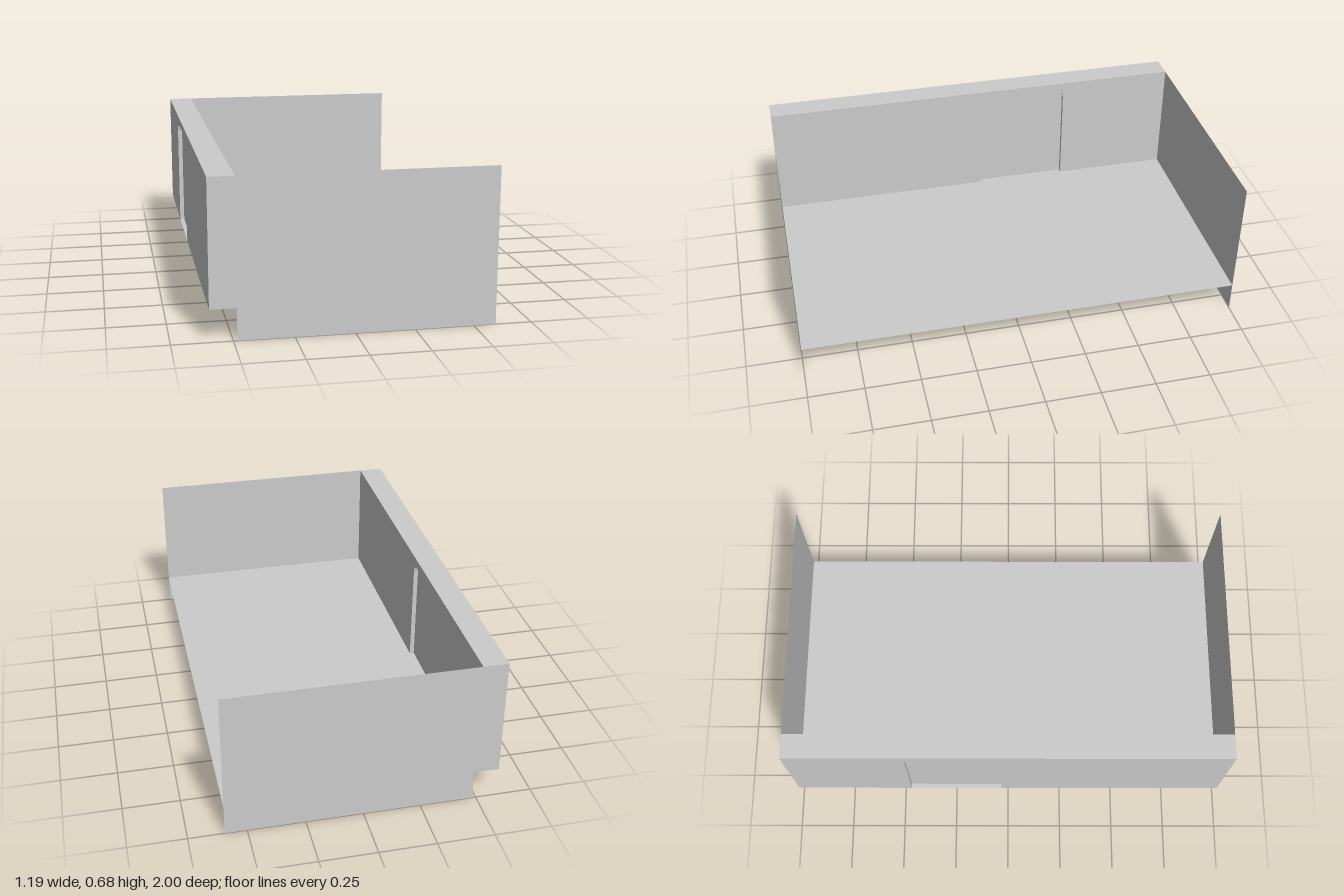
import * as THREE from 'three';

const HALF_W = 0.595, HALF_L = 1, FLOOR_Y = 0.137, TOP_Y = 0.675;
const WALL_INNER_X = -0.484, WALL_T = HALF_W + WALL_INNER_X;
const DOOR = { z0: -0.46, z1: -0.032, top: 0.638, r: 0.04, inset: 0.02 };

const solid = new THREE.MeshStandardMaterial({ color: 0xcccccc, flatShading: true });
const sheet = new THREE.MeshStandardMaterial({ color: 0xcccccc, flatShading: true, side: THREE.DoubleSide });

function named(name, geometry, material) {
  const mesh = new THREE.Mesh(geometry, material);
  mesh.name = name;
  return mesh;
}

// Doorway outline with rounded top corners, from the +z foot to the -z foot
function traceDoor(path) {
  const { z0, z1, top, r } = DOOR;
  path.lineTo(z1, FLOOR_Y);
  path.lineTo(z1, top - r);
  path.quadraticCurveTo(z1, top, z1 - r, top);
  path.lineTo(z0 + r, top);
  path.quadraticCurveTo(z0, top, z0, top - r);
  path.lineTo(z0, FLOOR_Y);
}

// Extrudes a (z, y) outline from x = xMax towards -x
function extrudeAcross(shape, xMax, depth) {
  return new THREE.ExtrudeGeometry(shape, { depth, bevelEnabled: false, curveSegments: 3 })
    .rotateY(-Math.PI / 2)
    .translate(xMax, 0, 0);
}

export function createModel() {
  const model = new THREE.Group();
  model.name = 'walledPlatform';

  // Thin floor
  const floor = named('floor', new THREE.PlaneGeometry(HALF_W * 2, HALF_L * 2).rotateX(-Math.PI / 2), sheet);
  floor.position.y = FLOOR_Y;
  model.add(floor);

  // Thin end panels, notched below the side wall
  const panel = new THREE.Shape([
    [WALL_INNER_X, 0], [HALF_W, 0], [HALF_W, TOP_Y],
    [-HALF_W, TOP_Y], [-HALF_W, FLOOR_Y], [WALL_INNER_X, FLOOR_Y],
  ].map(([x, y]) => new THREE.Vector2(x, y)));
  for (const [name, z] of [['frontPanel', HALF_L], ['backPanel', -HALF_L]]) {
    const mesh = named(name, new THREE.ShapeGeometry(panel), sheet);
    mesh.position.z = z;
    model.add(mesh);
  }

  // Thick side wall with a doorway
  const wall = new THREE.Shape();
  wall.moveTo(HALF_L, FLOOR_Y);
  traceDoor(wall);
  wall.lineTo(-HALF_L, FLOOR_Y);
  wall.lineTo(-HALF_L, TOP_Y);
  wall.lineTo(HALF_L, TOP_Y);
  wall.closePath();
  model.add(named('sideWall', extrudeAcross(wall, WALL_INNER_X, WALL_T), solid));

  // Door leaf, recessed on both faces
  const leaf = new THREE.Shape();
  leaf.moveTo(DOOR.z0, FLOOR_Y);
  traceDoor(leaf);
  model.add(named('door', extrudeAcross(leaf, WALL_INNER_X - DOOR.inset, WALL_T - 2 * DOOR.inset), solid));

  return model;
}
